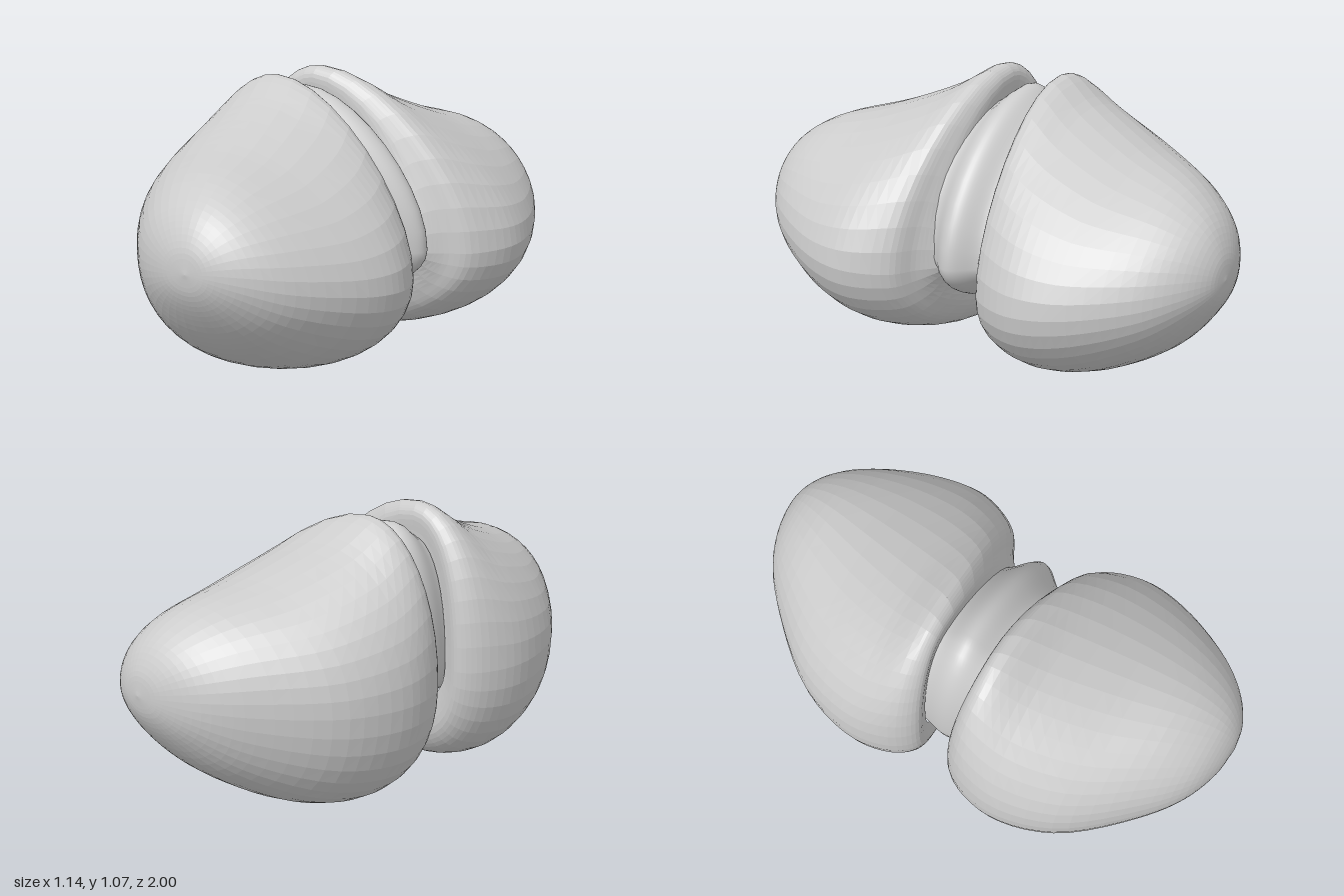
import * as THREE from 'three';

const SEGMENTS = 40;
const TIP = new THREE.Vector3(0.1, 0.52, 1);
const { lerp, smoothstep } = THREE.MathUtils;

const curve = (points) => new THREE.CatmullRomCurve3(points, false, 'centripetal');

// Side rails give [x, z] while y drifts to the tip; top and bottom rails give [y, z] while x drifts
const sideRail = (startY, power, points) =>
  curve([...points.map(([x, z]) => new THREE.Vector3(x, lerp(startY, TIP.y, z ** power), z)), TIP]);
const poleRail = (startX, power, points) =>
  curve([...points.map(([y, z]) => new THREE.Vector3(lerp(startX, TIP.x, z ** power), y, z)), TIP]);

// Neck rail: swells from its inner point to its outer point at z = 0
function neckRail(innerX, innerY, outerX, outerY) {
  const points = [];
  for (let i = -6; i <= 6; i++) {
    const swell = 0.5 + 0.5 * Math.cos((i / 6) * Math.PI);
    points.push(new THREE.Vector3(lerp(innerX, outerX, swell), lerp(innerY, outerY, swell), i * 0.021));
  }
  return curve(points);
}

// Bezier quarter arc falling from 1 to 0; fullness 0.55 is a circle
const quarter = (s, fullness) => (1 - s) ** 3 + 3 * (1 - s) ** 2 * s + 3 * (1 - s) * s * s * fullness;

// Skin stretched over four rails: each cross-section joins the right, top, left and bottom points
function railLoft(rails, rings, direction) {
  const position = [];
  const index = [];
  for (let i = 0; i <= rings; i++) {
    const t = i / rings;
    const corners = rails.map((r) => r.getPoint(t));
    const fullness = [lerp(0.4, 0.55, t * t), 0.58, 0.62, 0.54];
    for (let j = 0; j < SEGMENTS; j++) {
      const q = Math.floor((4 * j) / SEGMENTS);
      const s = (4 * j) / SEGMENTS - q;
      const from = corners[q];
      const to = corners[(q + 1) % 4];
      const start = quarter(s, fullness[q]);
      const end = quarter(1 - s, fullness[q]);
      const [side, pole, u, v] = q % 2 === 0 ? [from, to, start, end] : [to, from, end, start];
      const z = lerp(from.z, to.z, smoothstep(s, 0, 1));
      position.push(lerp(pole.x, side.x, u), lerp(side.y, pole.y, v), z * direction);
    }
  }
  for (let i = 0; i < rings; i++) {
    for (let j = 0; j < SEGMENTS; j++) {
      const a = i * SEGMENTS + j;
      const b = i * SEGMENTS + ((j + 1) % SEGMENTS);
      const c = b + SEGMENTS;
      const d = a + SEGMENTS;
      if (direction > 0) index.push(a, b, c, a, c, d);
      else index.push(a, c, b, a, d, c);
    }
  }
  const geometry = new THREE.BufferGeometry();
  geometry.setAttribute('position', new THREE.Float32BufferAttribute(position, 3));
  geometry.setIndex(index);
  geometry.computeVertexNormals();
  return geometry;
}

export function createModel() {
  const group = new THREE.Group();
  const faceted = new THREE.MeshStandardMaterial({ color: 0xcccccc, flatShading: true });
  const smooth = new THREE.MeshStandardMaterial({ color: 0xcccccc });

  // Lobe rails, from the lip beside the neck out to the blunt tip
  const right = sideRail(0.39, 3, [[0.33, 0.09], [0.4, 0.145], [0.49, 0.2], [0.567, 0.37],
    [0.545, 0.55], [0.42, 0.8], [0.3, 0.925], [0.19, 0.985]]);
  const top = poleRail(-0.22, 1.1, [[0.94, 0.1], [1.035, 0.1], [1.065, 0.14], [0.975, 0.3],
    [0.873, 0.55], [0.795, 0.8], [0.71, 0.925], [0.61, 0.985]]);
  const left = sideRail(0.47, 3, [[-0.38, 0.085], [-0.46, 0.063], [-0.53, 0.125], [-0.575, 0.3],
    [-0.51, 0.55], [-0.31, 0.8], [-0.16, 0.925], [-0.017, 0.985]]);
  const bottom = poleRail(-0.14, 2, [[0.27, 0.09], [0.12, 0.095], [0.04, 0.155], [0, 0.33],
    [0.045, 0.55], [0.195, 0.8], [0.335, 0.925], [0.44, 0.985]]);

  for (const [name, direction] of [['frontLobe', 1], ['backLobe', -1]]) {
    const lobe = new THREE.Mesh(railLoft([right, top, left, bottom], 40, direction), faceted);
    lobe.name = name;
    group.add(lobe);
  }

  // Bulging neck between the lobes
  const neckRails = [
    neckRail(0.33, 0.43, 0.41, 0.43),
    neckRail(-0.17, 0.94, -0.17, 1.01),
    neckRail(-0.37, 0.49, -0.393, 0.49),
    neckRail(-0.12, 0.28, -0.12, 0.215),
  ];
  const neck = new THREE.Mesh(railLoft(neckRails, 24, 1), smooth);
  neck.name = 'neck';
  group.add(neck);

  return group;
}
